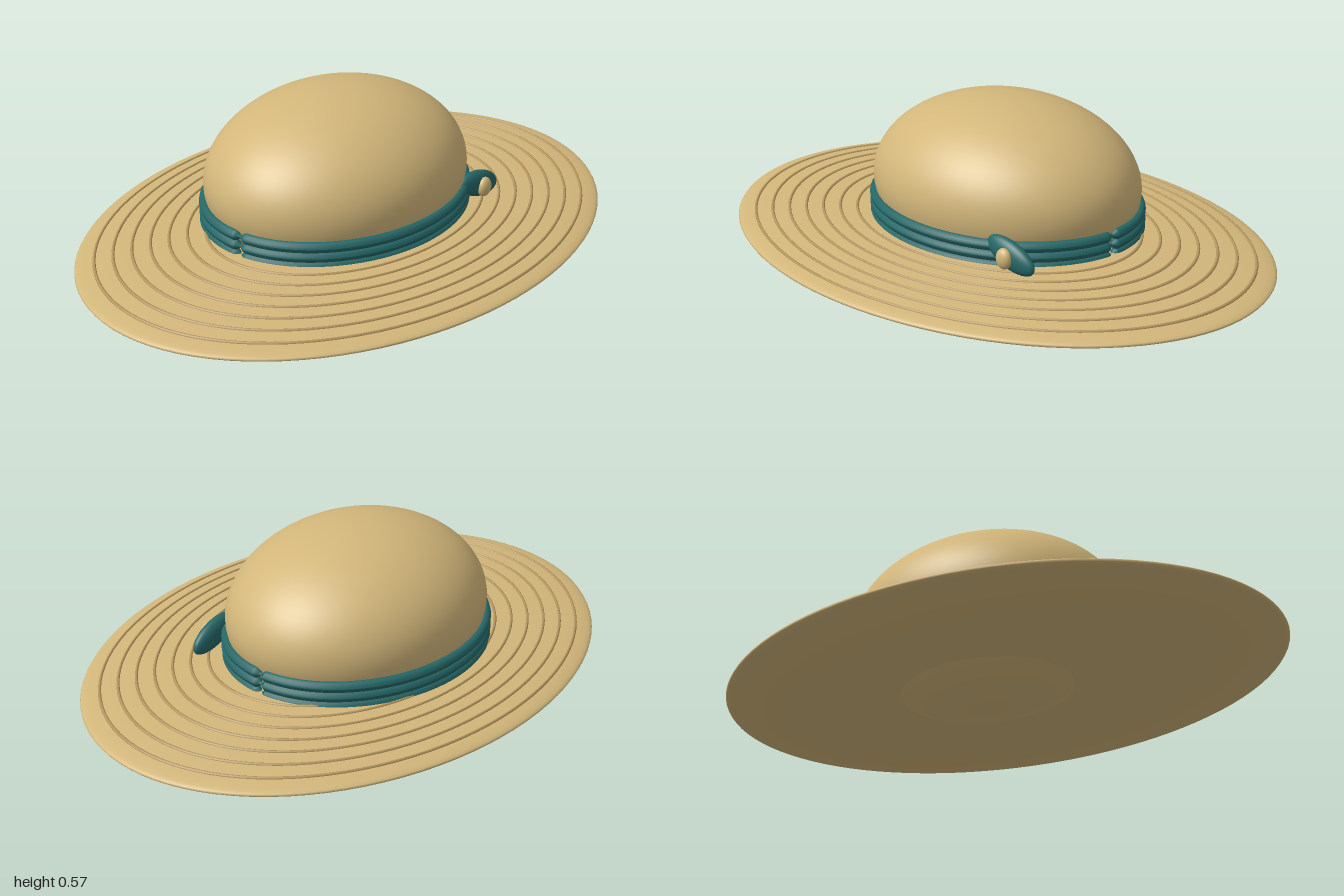
import * as THREE from 'three';

const straw = new THREE.MeshStandardMaterial({ color: 0xd2b67a });
straw.name = 'straw';
const stitch = new THREE.MeshStandardMaterial({ color: 0xb4965e });
stitch.name = 'strawStitching';
const teal = new THREE.MeshStandardMaterial({ color: 0x266767 });
teal.name = 'tealRibbon';

export function createModel() {
  const hat = new THREE.Group();
  hat.name = 'sunHat';

  const add = (name, geometry, material, x = 0, y = 0, z = 0) => {
    const mesh = new THREE.Mesh(geometry, material);
    mesh.name = name;
    mesh.position.set(x, y, z);
    hat.add(mesh);
    return mesh;
  };
  const ellipsoid = (rx, ry, rz, w = 32, h = 20) =>
    new THREE.SphereGeometry(1, w, h).scale(rx, ry, rz);

  // Rounded crown, its base bulging through the brim
  add('crown', ellipsoid(0.48, 0.286, 0.397, 64, 40), straw, 0, 0.286, -0.045);

  // Wide oval brim
  const brimY = 0.114, brimH = 0.054, depth = 0.742;
  add('brim', ellipsoid(1, brimH, depth, 96, 40), straw, 0, brimY, 0);

  // Concentric stitched rings, half sunk into the brim's curve
  for (let i = 0; i < 7; i++) {
    const r = 0.93 - i * 0.0665;
    const ring = new THREE.TorusGeometry(r, 0.006, 8, 96).rotateX(Math.PI / 2).scale(1, 1, depth);
    add('brimRing' + (i + 1), ring, stitch, 0, brimY + brimH * Math.sqrt(1 - r * r) - 0.001, 0);
  }

  // Hat band roll, pinched at each side where its halves meet
  const bandRoll = () => {
    const rx = 0.475, rz = 0.395, tube = 0.018, seam = 0.05;
    const g = new THREE.TorusGeometry(1, tube, 12, 360);
    const p = g.attributes.position;
    for (let i = 0; i < p.count; i++) {
      const a = Math.atan2(p.getY(i), p.getX(i));
      const radial = Math.hypot(p.getX(i), p.getY(i)) - 1;
      const c = Math.cos(a), s = Math.sin(a);
      // The seams sit slightly forward of the crown's middle
      const k = 0.2 + 0.8 * Math.min(1, Math.abs(s + seam) / 0.045);
      p.setXYZ(i, c * (rx + radial * k), p.getZ(i) * k, -s * (rz + radial * k));
    }
    g.computeVertexNormals();
    return g;
  };
  for (const [name, y] of [['bandUpperRoll', 0.221], ['bandMiddleRoll', 0.188], ['bandLowerRoll', 0.156]]) {
    add(name, bandRoll(), teal, 0, y, -0.046);
  }

  // Tilted ribbon knot with a straw bead
  const knot = add('ribbonKnot', ellipsoid(0.1, 0.046, 0.028), teal, 0.339, 0.211, 0.287);
  knot.rotation.z = -0.3;
  add('bead', ellipsoid(0.029, 0.034, 0.02, 24, 16), straw, 0.336, 0.207, 0.315);

  return hat;
}
